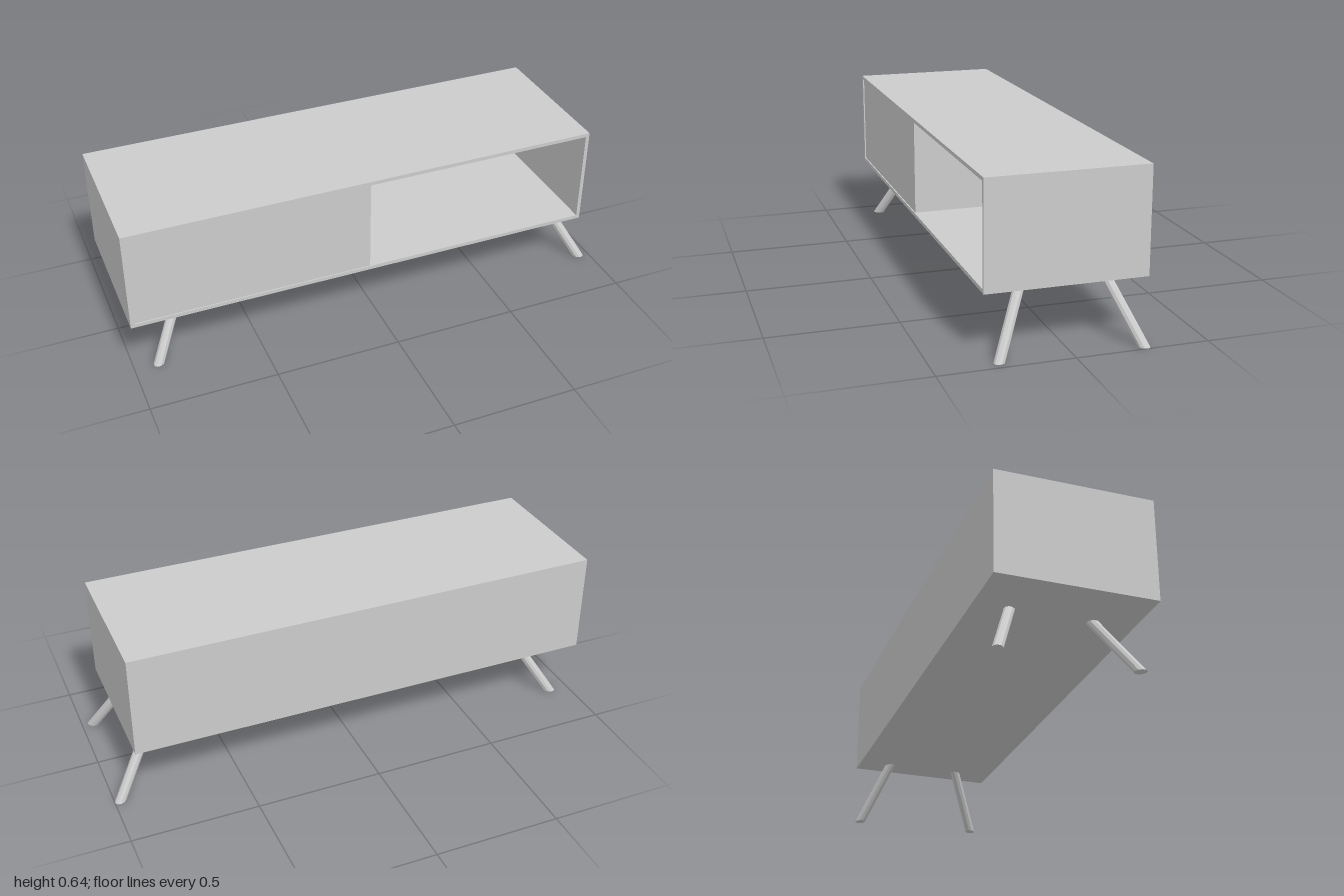
import * as THREE from 'three';

export function createModel() {
  const group = new THREE.Group();
  group.name = 'mediaConsole';
  const material = new THREE.MeshStandardMaterial({ color: 0xcccccc, flatShading: true });

  function add(name, geometry) {
    const mesh = new THREE.Mesh(geometry, material);
    mesh.name = name;
    group.add(mesh);
  }

  // Box given by its limits on each axis
  function panel(name, [x0, x1], [y0, y1], [z0, z1]) {
    const geometry = new THREE.BoxGeometry(x1 - x0, y1 - y0, z1 - z0);
    geometry.translate((x0 + x1) / 2, (y0 + y1) / 2, (z0 + z1) / 2);
    add(name, geometry);
  }

  const left = -1, right = 0.91, bottom = 0.233, top = 0.642, depth = 0.305, t = 0.015;
  const innerX = [left + t, right - t];
  const innerY = [bottom + t, top - t];
  const doorEdge = -0.037;

  // Cabinet shell
  panel('topPanel', [left, right], [top - t, top], [-depth, depth]);
  panel('bottomPanel', [left, right], [bottom, bottom + t], [-depth, depth]);
  panel('rightSidePanel', [left, left + t], innerY, [-depth, depth]);
  panel('leftSidePanel', [right - t, right], innerY, [-depth, depth]);
  panel('backPanel', innerX, innerY, [-depth, -0.25]);

  // Closed compartment beside the open shelf
  panel('divider', [doorEdge - t, doorEdge], innerY, [-0.25, 0.28]);
  panel('door', [left + t, doorEdge], innerY, [0.28, depth - 0.005]);

  // Round leg leaning outward, cut level at the floor and the cabinet
  function leg(name, [topX, topZ], [footX, footZ]) {
    const h = bottom;
    const dx = topX - footX, dz = topZ - footZ;
    const stretch = Math.hypot(1, Math.hypot(dx, dz) / h);
    const geometry = new THREE.CylinderGeometry(0.02, 0.02, h, 10);
    geometry.translate(0, h / 2, 0);
    geometry.scale(stretch, 1, 1);
    geometry.rotateY(-Math.atan2(dz, dx));
    const shear = new THREE.Matrix4().set(
      1, dx / h, 0, footX,
      0, 1, 0, 0,
      0, dz / h, 1, footZ,
      0, 0, 0, 1
    );
    geometry.applyMatrix4(shear);
    geometry.computeVertexNormals();
    add(name, geometry);
  }

  leg('frontLeftLeg', [0.826, 0.147], [0.954, 0.263]);
  leg('backLeftLeg', [0.828, -0.167], [0.976, -0.262]);
  leg('frontRightLeg', [-0.775, 0.147], [-0.902, 0.263]);
  leg('backRightLeg', [-0.773, -0.167], [-0.916, -0.262]);

  return group;
}
